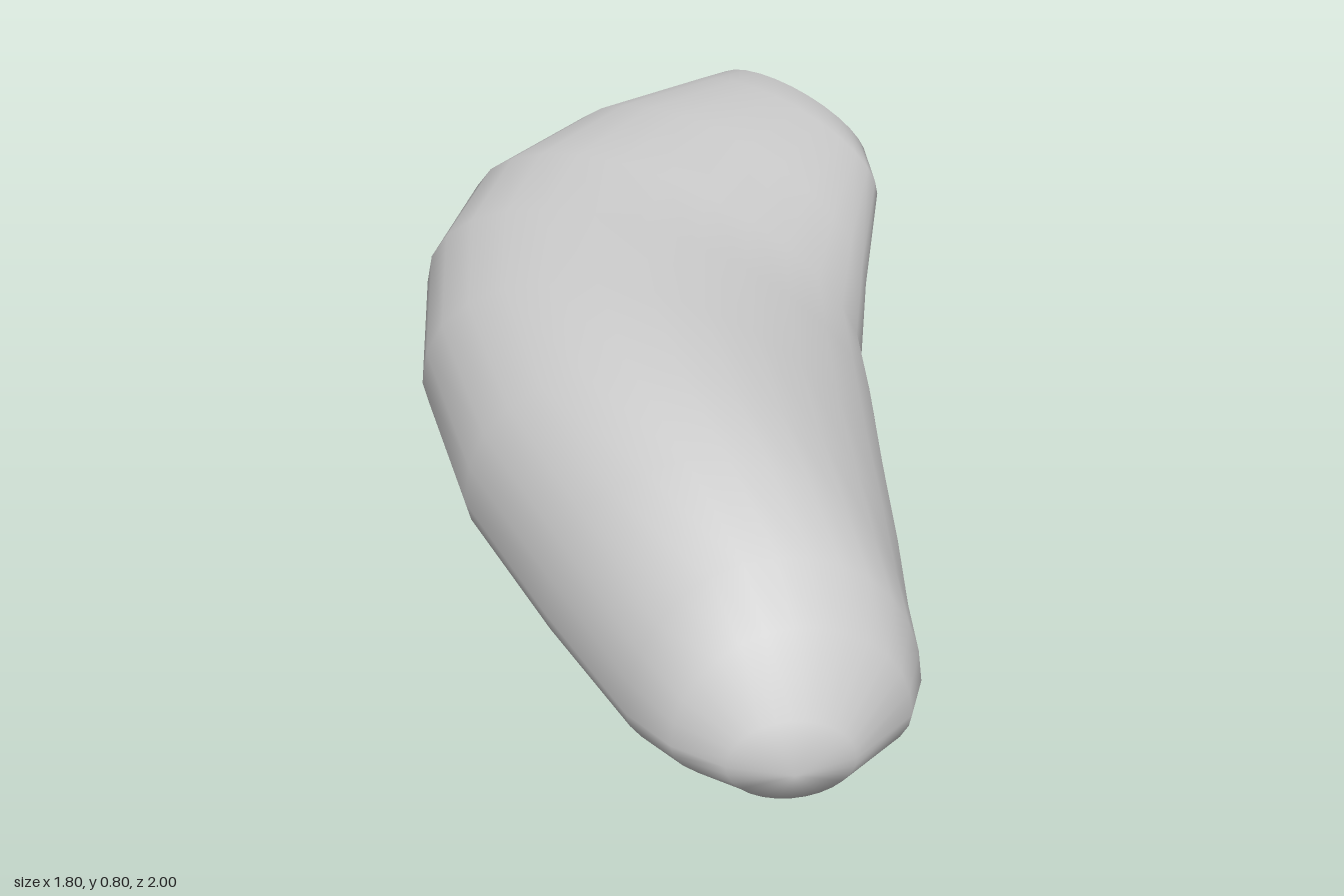
import * as THREE from 'three';

// Cross-sections from the raised back tip to the low front tip:
// edge on the -x side (x, y, z), edge on the +x side (x, y, z), rise above and drop below their chord
const SECTIONS = [
  [-0.67, 0.71, -0.98, -0.44, 0.67, -0.985, 0.03, 0.05],
  [-0.74, 0.71, -0.92, -0.25, 0.62, -0.905, 0.09, 0.09],
  [-0.78, 0.69, -0.80, -0.14, 0.58, -0.80, 0.135, 0.135],
  [-0.875, 0.64, -0.46, 0.02, 0.47, -0.52, 0.235, 0.23],
  [-0.90, 0.59, -0.10, 0.14, 0.38, -0.33, 0.28, 0.24],
  [-0.81, 0.51, 0.18, 0.29, 0.33, -0.17, 0.325, 0.24],
  [-0.57, 0.42, 0.47, 0.48, 0.27, 0.05, 0.385, 0.22],
  [-0.23, 0.32, 0.71, 0.65, 0.21, 0.24, 0.42, 0.19],
  [0.13, 0.23, 0.86, 0.77, 0.16, 0.38, 0.415, 0.17],
  [0.45, 0.16, 0.98, 0.85, 0.13, 0.46, 0.345, 0.14],
  [0.58, 0.14, 0.995, 0.90, 0.12, 0.57, 0.25, 0.12],
  [0.70, 0.12, 0.965, 0.89, 0.11, 0.76, 0.10, 0.09],
];
const SIDES = 28;

function loft(sections) {
  const positions = [];
  const index = [];
  const centres = [];
  for (const [lx, ly, lz, rx, ry, rz, rise, drop] of sections) {
    const centre = new THREE.Vector3(lx + rx, ly + ry, lz + rz).multiplyScalar(0.5);
    const half = new THREE.Vector3(rx, ry, rz).sub(centre);
    centres.push(centre);
    for (let j = 0; j < SIDES; j++) {
      const a = (j / SIDES) * Math.PI * 2;
      const p = centre.clone().addScaledVector(half, Math.cos(a));
      p.y += Math.sin(a) * (Math.sin(a) > 0 ? rise : drop);
      positions.push(p.x, p.y, p.z);
    }
  }
  // Skin between neighbouring sections
  const last = sections.length - 1;
  for (let i = 0; i < last; i++) {
    for (let j = 0; j < SIDES; j++) {
      const k = (j + 1) % SIDES;
      const a = i * SIDES + j, b = i * SIDES + k;
      index.push(a, b, a + SIDES, b, b + SIDES, a + SIDES);
    }
  }
  // Slightly domed end caps
  const back = positions.length / 3, front = back + 1;
  const tipA = centres[0].clone().add(new THREE.Vector3(0, 0, -0.018));
  const tipB = centres[last].clone().add(new THREE.Vector3(0.035, 0, 0.035));
  positions.push(...tipA.toArray(), ...tipB.toArray());
  for (let j = 0; j < SIDES; j++) {
    const k = (j + 1) % SIDES;
    index.push(back, k, j, front, last * SIDES + j, last * SIDES + k);
  }
  const geometry = new THREE.BufferGeometry();
  geometry.setAttribute('position', new THREE.Float32BufferAttribute(positions, 3));
  geometry.setIndex(index);
  geometry.computeVertexNormals();
  return geometry;
}

export function createModel() {
  const group = new THREE.Group();
  group.name = 'curvedPebble';
  // Single smooth, bean-shaped body
  const body = new THREE.Mesh(loft(SECTIONS), new THREE.MeshStandardMaterial({ color: 0xcccccc }));
  body.name = 'body';
  group.add(body);
  return group;
}
